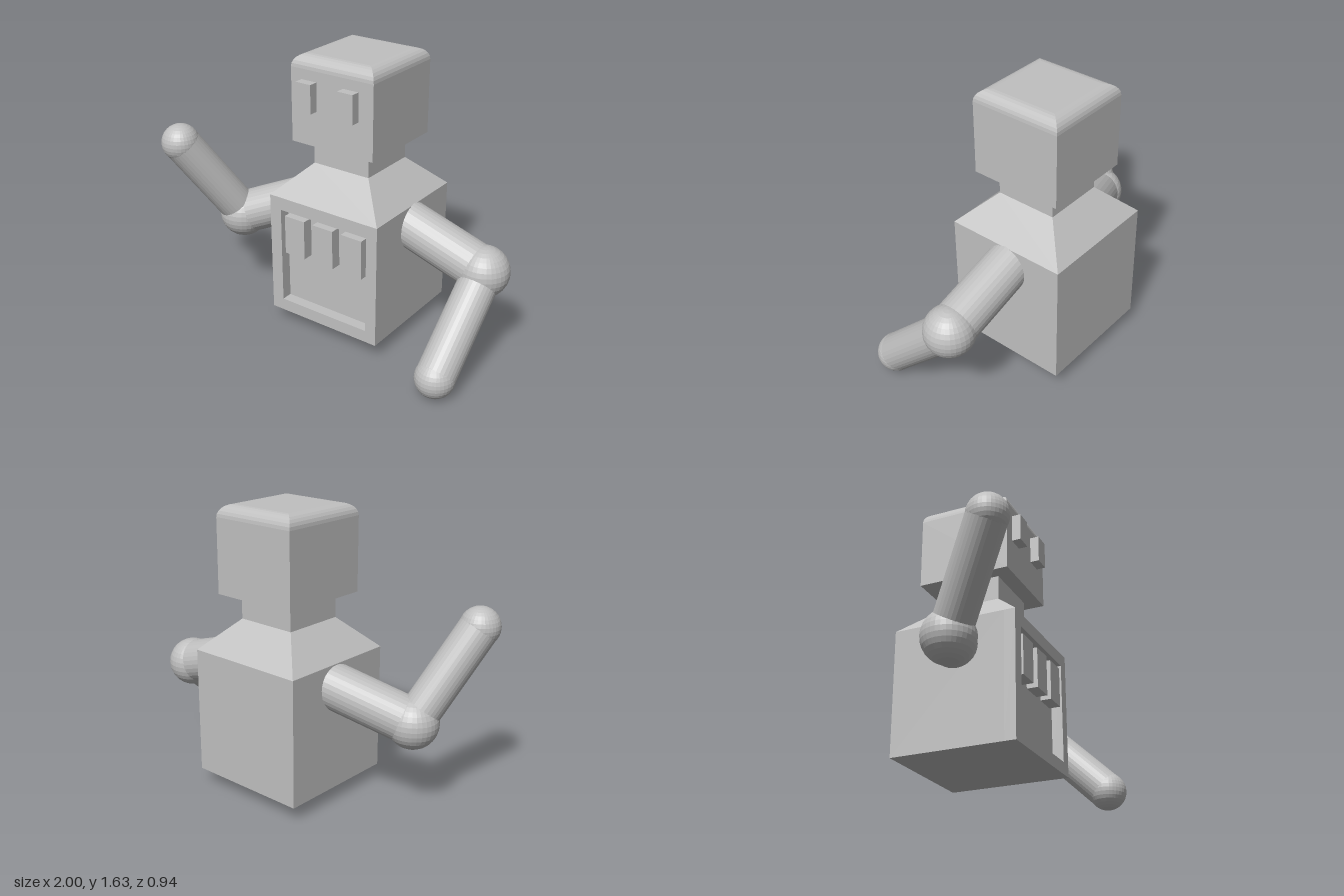
import * as THREE from 'three';

export function createModel() {
  const model = new THREE.Group();
  const grey = new THREE.MeshStandardMaterial({ color: 0xc0c0c0, flatShading: true });
  const CX = 0.042, CZ = -0.11; // axis of the torso and head

  function add(name, geometry, x = 0, y = 0, z = 0, parent = model) {
    const mesh = new THREE.Mesh(geometry, grey);
    mesh.name = name;
    mesh.position.set(x, y, z);
    parent.add(mesh);
    return mesh;
  }

  // Square-section solid from [half width, height] pairs, listed bottom to top
  function squareStack(profile) {
    const points = profile.map(([h, y]) => new THREE.Vector2(h * Math.SQRT2, y));
    return new THREE.LatheGeometry(points, 4, Math.PI / 4);
  }

  function rect(path, x0, y0, x1, y1) {
    path.moveTo(x0, y0);
    path.lineTo(x1, y0);
    path.lineTo(x1, y1);
    path.lineTo(x0, y1);
    path.closePath();
    return path;
  }

  // Torso: main block plus a front frame that leaves the chest panel sunken
  const front = 0.252, back = -0.472, recess = 0.065;
  const depth = front - recess - back;
  add('torso', new THREE.BoxGeometry(0.726, 0.73, depth), CX, 0.455, back + depth / 2);
  const frame = rect(new THREE.Shape(), CX - 0.363, 0.09, CX + 0.363, 0.82);
  frame.holes.push(rect(new THREE.Path(), -0.246, 0.162, 0.337, 0.743));
  add('chestFrame', new THREE.ExtrudeGeometry(frame, { depth: recess, bevelEnabled: false }),
    0, 0, front - recess);

  // Chest buttons
  for (const x of [-0.15, 0.045, 0.238]) {
    add('chestButton', new THREE.BoxGeometry(0.136, 0.234, recess), x, 0.596, front - recess / 2);
  }

  // Sloping shoulders and neck
  add('shouldersAndNeck', squareStack([[0.363, 0.82], [0.182, 0.997], [0.182, 1.14]]), CX, 0, CZ);

  // Head with rounded upper edges
  const half = 0.266, top = 1.635, r = 0.07;
  const headProfile = [[0, 1.14], [half, 1.14]];
  for (let i = 0; i <= 6; i++) {
    const a = (i / 6) * Math.PI / 2;
    headProfile.push([half - r + r * Math.cos(a), top - r + r * Math.sin(a)]);
  }
  headProfile.push([0, top]);
  add('head', squareStack(headProfile), 0.045, 0, CZ).scale.z = 1.025;

  // Eyes
  for (const x of [-0.101, 0.169]) {
    add('eye', new THREE.BoxGeometry(0.098, 0.163, 0.06), x, 1.425, 0.186);
  }

  // Tube between two points
  function limb(name, a, b, radius, parent) {
    const dir = b.clone().sub(a);
    const mid = a.clone().add(b).multiplyScalar(0.5);
    const mesh = add(name, new THREE.CylinderGeometry(radius, radius, dir.length(), 32),
      mid.x, mid.y, mid.z, parent);
    mesh.quaternion.setFromUnitVectors(new THREE.Vector3(0, 1, 0), dir.normalize());
  }

  // Arm: shoulder inside the torso, elbow ball, round hand
  function arm(name, shoulder, elbow, hand) {
    const group = new THREE.Group();
    group.name = name;
    model.add(group);
    const [s, e, h] = [shoulder, elbow, hand].map((p) => new THREE.Vector3(...p));
    limb('upperArm', s, e, 0.13, group);
    add('elbow', new THREE.SphereGeometry(0.144, 32, 16), e.x, e.y, e.z, group);
    limb('forearm', e, h, 0.109, group);
    add('hand', new THREE.SphereGeometry(0.111, 32, 16), h.x, h.y, h.z, group);
  }
  arm('leftArm', [0.25, 0.735, -0.117], [0.852, 0.548, -0.117], [0.84, 0.113, 0.335]);
  arm('rightArm', [-0.2, 0.722, -0.16], [-0.697, 0.526, 0.06], [-0.892, 1.035, 0.36]);

  return model;
}
